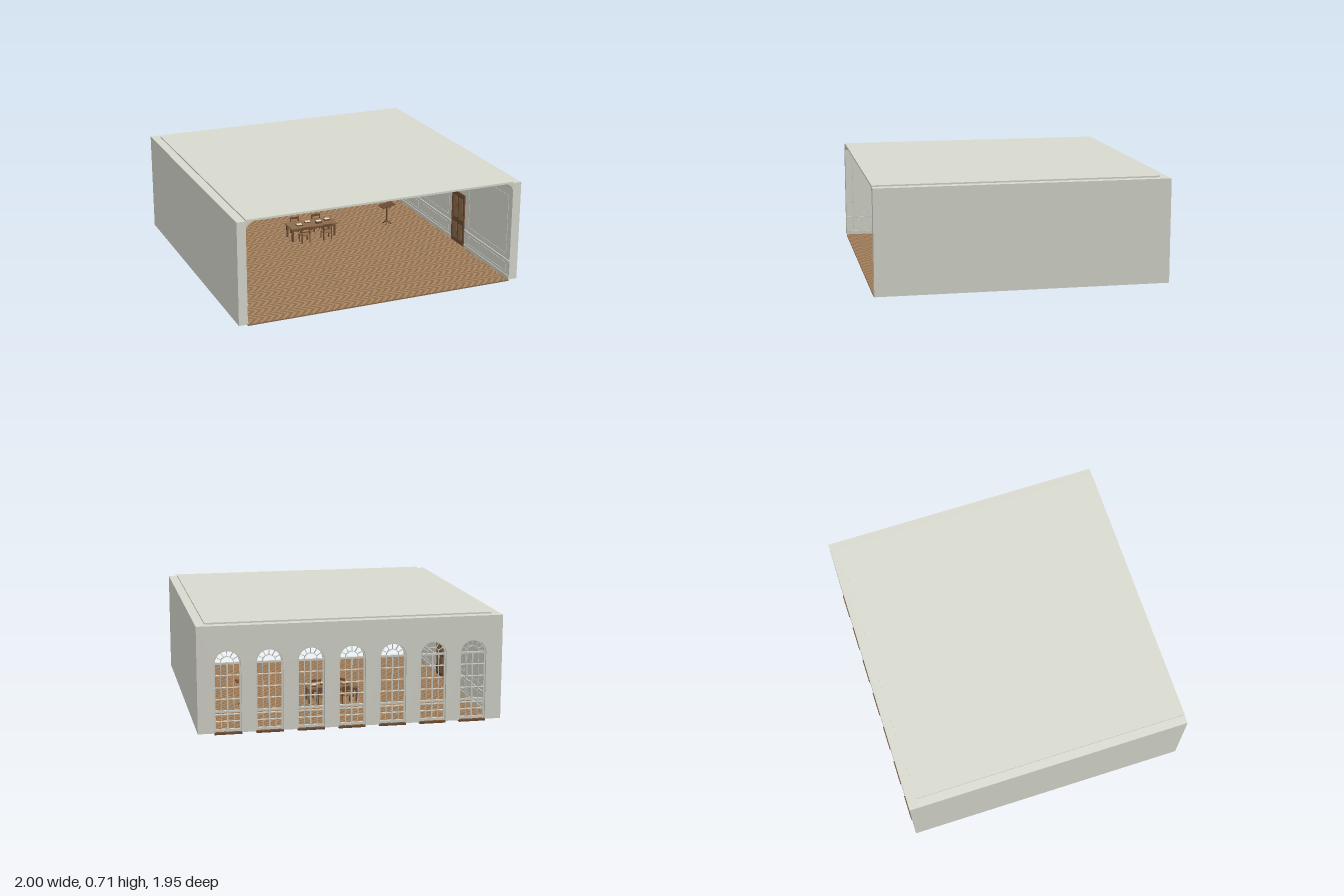
import * as THREE from 'three';

const mat = (name, color, extra = {}) => {
  const m = new THREE.MeshStandardMaterial({ color, ...extra });
  m.name = name;
  return m;
};

export function createModel() {
  const plaster = mat('plaster', 0xd8d9ce);
  const trim = mat('trim', 0xd2d2c8);
  const oakLight = mat('light oak', 0xa88560);
  const oakDark = mat('dark oak', 0x8c6b4b);
  const walnut = mat('walnut', 0x6e4c33);
  const paper = mat('paper', 0xe4dcc6);
  const root = new THREE.Group();
  root.name = 'room';

  const group = (name, parent = root) => {
    const g = new THREE.Group();
    g.name = name;
    parent.add(g);
    return g;
  };
  const add = (parent, name, geo, material) => {
    const m = new THREE.Mesh(geo, material);
    m.name = name;
    parent.add(m);
    return m;
  };
  // Box from its minimum and maximum corners
  const box = (parent, name, material, x0, x1, y0, y1, z0, z1) => {
    const m = add(parent, name, new THREE.BoxGeometry(x1 - x0, y1 - y0, z1 - z0), material);
    m.position.set((x0 + x1) / 2, (y0 + y1) / 2, (z0 + z1) / 2);
    return m;
  };
  const extrude = (shape, depth) =>
    new THREE.ExtrudeGeometry(shape, { depth, bevelEnabled: false, curveSegments: 20 });

  // Floor slab with a chevron parquet in two tones
  box(root, 'floorSlab', oakDark, -0.94, 0.94, 0, 0.008, -0.93, 0.97);
  const band = 0.95 / 16, plank = 0.025;
  const clampX = x => Math.max(-0.94, Math.min(0.94, x));
  const tones = [[], []];
  for (let k = 0; k < 32; k++) {
    const z0 = -0.93 + k * band, z1 = z0 + band;
    const a = k % 2 ? band : 0, b = band - a;
    for (let i = -3; i < 77; i++) {
      const x = -0.94 + i * plank;
      const [p, q, r, s] = [x + a, x + plank + a, x + plank + b, x + b].map(clampX);
      if (q - p + r - s < 1e-6) continue;
      const y = 0.01, zz = Math.min(z1, 0.97);
      tones[(i + 4 + (k >> 1)) % 2].push(p, y, z0, s, y, zz, r, y, zz, p, y, z0, r, y, zz, q, y, z0);
    }
  }
  [oakLight, oakDark].forEach((m, i) => {
    const g = new THREE.BufferGeometry();
    g.setAttribute('position', new THREE.Float32BufferAttribute(tones[i], 3));
    g.computeVertexNormals();
    add(root, i ? 'darkPlanks' : 'lightPlanks', g, m);
  });

  // Roof and the ceiling border
  box(root, 'roof', plaster, -0.94, 0.94, 0.702, 0.715, -0.91, 0.97);
  for (const s of [-1, 1]) {
    box(root, 'ceilingBorder', trim, s * 0.8 - 0.006, s * 0.8 + 0.006, 0.697, 0.702, -0.78, 0.84);
    box(root, 'ceilingBorder', trim, -0.8, 0.8, 0.697, 0.702, 0.03 + s * 0.81 - 0.006, 0.03 + s * 0.81 + 0.006);
  }

  // Back wall with seven arched openings down to the floor
  const R = 0.087, spring = 0.46;
  const centres = [-3, -2, -1, 0, 1, 2, 3].map(i => i * 0.2685);
  const wall = new THREE.Shape();
  wall.moveTo(-1, 0.01);
  for (const c of centres) {
    wall.lineTo(c - R, 0.01);
    wall.lineTo(c - R, spring);
    wall.absarc(c, spring, R, Math.PI, 0, true);
    wall.lineTo(c + R, 0.01);
  }
  wall.lineTo(1, 0.01);
  wall.lineTo(1, 0.705);
  wall.lineTo(-1, 0.705);
  add(root, 'backWall', extrude(wall, 0.06), plaster).position.z = -0.97;

  // Half ring, used for arch mouldings and window frames
  const halfRing = (r0, r1, depth) => {
    const s = new THREE.Shape();
    s.absarc(0, 0, r1, 0, Math.PI, false);
    s.absarc(0, 0, r0, Math.PI, 0, true);
    return extrude(s, depth);
  };
  for (const c of centres) {
    const w = group('archedWindow');
    w.position.x = c;
    const bar = (name, x, y0, y1, t) => box(w, name, trim, x - t, x + t, y0, y1, -0.952, -0.938);
    const rail = (name, y, t) => box(w, name, trim, -R, R, y - t, y + t, -0.953, -0.937);
    box(w, 'sill', walnut, -0.088, 0.088, 0, 0.012, -0.975, -0.91);
    add(w, 'archMoulding', halfRing(R, 0.105, 0.012), trim).position.set(0, spring, -0.911);
    add(w, 'archFrame', halfRing(0.078, R, 0.02), trim).position.set(0, spring, -0.955);
    add(w, 'fanRing', halfRing(0.04, 0.044, 0.012), trim).position.set(0, spring, -0.951);
    for (const s of [-1, 1]) {
      bar('jamb', s * 0.082, 0.01, spring, 0.005);
      bar('glazingBar', s * 0.041, 0.01, spring, 0.002);
      box(w, 'impost', trim, s * 0.096 - 0.009, s * 0.096 + 0.009, 0.44, spring, -0.911, -0.899);
    }
    bar('meetingStile', 0, 0.01, spring, 0.005);
    rail('transom', 0.458, 0.006);
    rail('middleRail', 0.145, 0.006);
    rail('lowerRail', 0.125, 0.003);
    rail('bottomRail', 0.022, 0.008);
    for (const y of [0.08, 0.225, 0.3, 0.38]) rail('crossBar', y, 0.002);
    for (let i = 1; i < 6; i++) {
      const a = i * Math.PI / 6;
      const spoke = add(w, 'fanSpoke', new THREE.BoxGeometry(0.04, 0.004, 0.012), trim);
      spoke.position.set(Math.cos(a) * 0.061, spring + Math.sin(a) * 0.061, -0.945);
      spoke.rotation.z = a;
    }
  }

  // Sloping cornice below the ceiling, along the back and both sides
  const cornice = new THREE.Shape();
  [[0, 0.665], [0.008, 0.665], [0.012, 0.675], [0.034, 0.694], [0.045, 0.696], [0.045, 0.703], [0, 0.703]]
    .forEach(([x, y], i) => (i ? cornice.lineTo(x, y) : cornice.moveTo(x, y)));
  const corniceRun = (len, x, z, turn) => {
    const m = add(root, 'cornice', extrude(cornice, len), trim);
    m.position.set(x, 0, z);
    m.rotation.y = turn;
  };
  corniceRun(1.88, -0.94, -0.91, 0);
  corniceRun(1.88, 0.94, 0.97, Math.PI);
  corniceRun(1.88, 0.94, -0.91, -Math.PI / 2);

  // Side walls with skirting, dado rail, panel mouldings and a door
  for (const s of [-1, 1]) {
    const side = group(s < 0 ? 'rightWall' : 'leftWall');
    const strip = (name, material, depth, y0, y1, z0, z1) => {
      const x = s * 0.94, xi = s * (0.94 - depth);
      box(side, name, material, Math.min(x, xi), Math.max(x, xi), y0, y1, z0, z1);
    };
    box(side, 'wall', plaster, Math.min(s * 0.94, s), Math.max(s * 0.94, s), 0.01, 0.705, -0.91, 0.97);
    for (const [z0, z1] of [[-0.91, 0.13], [0.33, 0.97]]) {
      strip('skirting', trim, 0.005, 0.01, 0.035, z0, z1);
      strip('dadoRail', trim, 0.008, 0.137, 0.147, z0, z1);
    }
    for (const [z0, z1] of [[-0.87, -0.42], [-0.37, 0.08], [0.38, 0.92]]) {
      for (const [y0, y1] of [[0.05, 0.12], [0.18, 0.6]]) {
        strip('panelMoulding', trim, 0.003, y0, y0 + 0.005, z0, z1);
        strip('panelMoulding', trim, 0.003, y1 - 0.005, y1, z0, z1);
        strip('panelMoulding', trim, 0.003, y0, y1, z0, z0 + 0.005);
        strip('panelMoulding', trim, 0.003, y0, y1, z1 - 0.005, z1);
      }
    }
    strip('door', walnut, 0.005, 0.01, 0.39, 0.15, 0.31);
    strip('doorPost', walnut, 0.009, 0.01, 0.4, 0.138, 0.15);
    strip('doorPost', walnut, 0.009, 0.01, 0.4, 0.31, 0.322);
    strip('doorHead', walnut, 0.009, 0.388, 0.4, 0.138, 0.322);
    for (const z of [0.19, 0.27]) {
      strip('doorPanel', oakDark, 0.008, 0.04, 0.16, z - 0.028, z + 0.028);
      strip('doorPanel', oakDark, 0.008, 0.2, 0.36, z - 0.028, z + 0.028);
    }
  }

  // Reading table with books
  const table = group('table');
  table.position.z = -0.3;
  box(table, 'tableTop', oakDark, -0.18, 0.18, 0.105, 0.115, -0.07, 0.07);
  box(table, 'apron', walnut, -0.165, 0.165, 0.088, 0.105, -0.058, 0.058);
  for (const x of [-0.165, 0.165]) for (const z of [-0.055, 0.055])
    box(table, 'tableLeg', walnut, x - 0.006, x + 0.006, 0.01, 0.105, z - 0.006, z + 0.006);
  for (const [x, z, h] of [[-0.1, 0.02, 0.008], [-0.02, -0.02, 0.006], [0.05, 0.025, 0.016], [0.13, -0.01, 0.01]]) {
    box(table, 'book', walnut, x - 0.022, x + 0.022, 0.115, 0.115 + h, z - 0.016, z + 0.016);
    box(table, 'pages', paper, x - 0.019, x + 0.019, 0.115 + h, 0.118 + h, z - 0.014, z + 0.014);
  }

  // Chairs on both long sides of the table
  for (const x of [-0.085, 0.085]) for (const s of [-1, 1]) {
    const chair = group('chair', table);
    chair.position.set(x, 0, s * 0.09);
    chair.rotation.y = s > 0 ? 0 : Math.PI;
    box(chair, 'seat', oakDark, -0.035, 0.035, 0.065, 0.072, -0.03, 0.03);
    for (const lx of [-0.031, 0.031]) {
      box(chair, 'frontLeg', walnut, lx - 0.004, lx + 0.004, 0.01, 0.066, -0.03, -0.022);
      box(chair, 'backLeg', walnut, lx - 0.004, lx + 0.004, 0.01, 0.132, 0.022, 0.03);
    }
    box(chair, 'backRail', walnut, -0.035, 0.035, 0.116, 0.132, 0.023, 0.029);
    box(chair, 'lowerBackRail', walnut, -0.031, 0.031, 0.092, 0.098, 0.023, 0.029);
  }

  // Lectern with a slanted desk on a tripod
  const lectern = group('lectern');
  lectern.position.set(0.615, 0, -0.3);
  add(lectern, 'post', new THREE.CylinderGeometry(0.005, 0.007, 0.13, 12), walnut).position.y = 0.095;
  box(lectern, 'bracket', walnut, -0.025, 0.025, 0.152, 0.16, -0.02, 0.02);
  const desk = add(lectern, 'desk', new THREE.BoxGeometry(0.105, 0.006, 0.08), walnut);
  desk.position.y = 0.168;
  desk.rotation.z = 0.18;
  for (let i = 0; i < 3; i++) {
    const a = i * Math.PI * 2 / 3, dx = Math.cos(a), dz = Math.sin(a);
    const path = new THREE.QuadraticBezierCurve3(
      new THREE.Vector3(0, 0.045, 0),
      new THREE.Vector3(dx * 0.015, 0.035, dz * 0.015),
      new THREE.Vector3(dx * 0.038, 0.013, dz * 0.038));
    add(lectern, 'foot', new THREE.TubeGeometry(path, 8, 0.004, 8), walnut);
  }
  return root;
}
